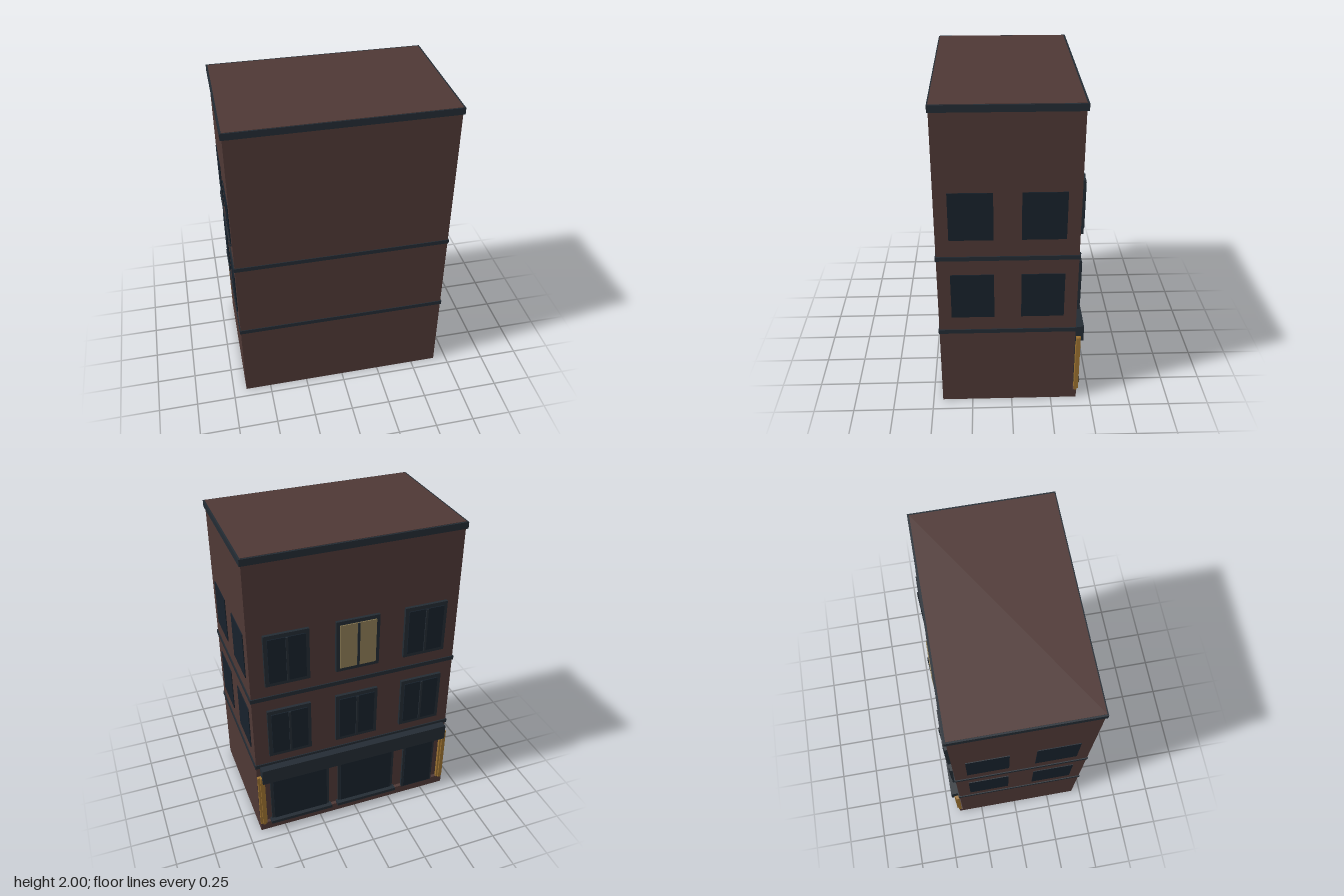
import * as THREE from 'three';

const mat = (color) => new THREE.MeshStandardMaterial({ color });

export function createModel() {
  const model = new THREE.Group();
  const brick = mat(0x4e3835), trim = mat(0x232b33), glass = mat(0x17212b);
  const litGlass = mat(0x8c7c55), gold = mat(0x9a7030);

  // Box given by its extents on each axis
  function box(name, material, [x0, x1], [y0, y1], [z0, z1], parent = model) {
    const mesh = new THREE.Mesh(new THREE.BoxGeometry(x1 - x0, y1 - y0, z1 - z0), material);
    mesh.position.set((x0 + x1) / 2, (y0 + y1) / 2, (z0 + z1) / 2);
    mesh.name = name;
    parent.add(mesh);
    return mesh;
  }

  function group(name) {
    const g = new THREE.Group();
    g.name = name;
    model.add(g);
    return g;
  }

  // Main volume, roof cornice and floor bands
  box('walls', brick, [-0.665, 0.665], [0, 2], [-0.391, 0.44]);
  box('cornice', trim, [-0.675, 0.675], [1.957, 1.998], [-0.403, 0.447]);
  for (const y of [0.53, 1.048]) {
    box('floorBand', trim, [-0.671, 0.671], [y, y + 0.027], [-0.398, 0.445]);
  }

  // Plain windows on both side walls
  for (const side of [-1, 1]) {
    for (const y of [0.65, 1.185]) {
      for (const z of [-0.313, 0.105]) {
        const x = side * 0.667;
        box('sideWindow', glass, [x - 0.003, x + 0.003], [y, y + 0.3], [z, z + 0.257]);
      }
    }
  }

  // Upper facade windows: frame, raised pane and central mullion
  for (const y of [0.63, 1.163]) {
    for (const x of [-0.44, 0, 0.44]) {
      const w = group('facadeWindow');
      const lit = x === 0 && y > 1;
      box('windowFrame', trim, [x - 0.138, x + 0.138], [y, y + 0.347], [-0.419, -0.4], w);
      box('windowPane', lit ? litGlass : glass, [x - 0.115, x + 0.115], [y + 0.025, y + 0.322], [-0.425, -0.418], w);
      box('mullion', trim, [x - 0.007, x + 0.007], [y + 0.025, y + 0.322], [-0.432, -0.424], w);
    }
  }

  // Shopfront: plinth, fascia and corner pilasters
  box('plinth', brick, [-0.665, 0.665], [0, 0.06], [-0.414, -0.39]);
  box('fascia', trim, [-0.64, 0.64], [0.432, 0.54], [-0.446, -0.39]);
  for (const side of [-1, 1]) {
    const p = group('pilaster');
    const x = side * 0.643;
    box('pilasterShaft', gold, [x - 0.022, x + 0.022], [0.06, 0.468], [-0.418, -0.4], p);
    box('pilasterStrip', gold, [x - 0.009, x + 0.009], [0.06, 0.468], [-0.428, -0.417], p);
  }

  // Display windows with sills
  for (const x of [-0.08, 0.385]) {
    const w = group('shopWindow');
    box('shopFrame', trim, [x - 0.2, x + 0.2], [0.07, 0.432], [-0.412, -0.4], w);
    box('shopPane', glass, [x - 0.182, x + 0.182], [0.085, 0.415], [-0.417, -0.411], w);
    box('shopSill', trim, [x - 0.212, x + 0.212], [0.062, 0.084], [-0.442, -0.4], w);
  }

  // Entrance door
  const door = group('door');
  box('doorFrame', trim, [-0.58, -0.35], [0.05, 0.432], [-0.416, -0.4], door);
  box('doorPanel', glass, [-0.565, -0.365], [0.06, 0.42], [-0.421, -0.415], door);

  return model;
}
